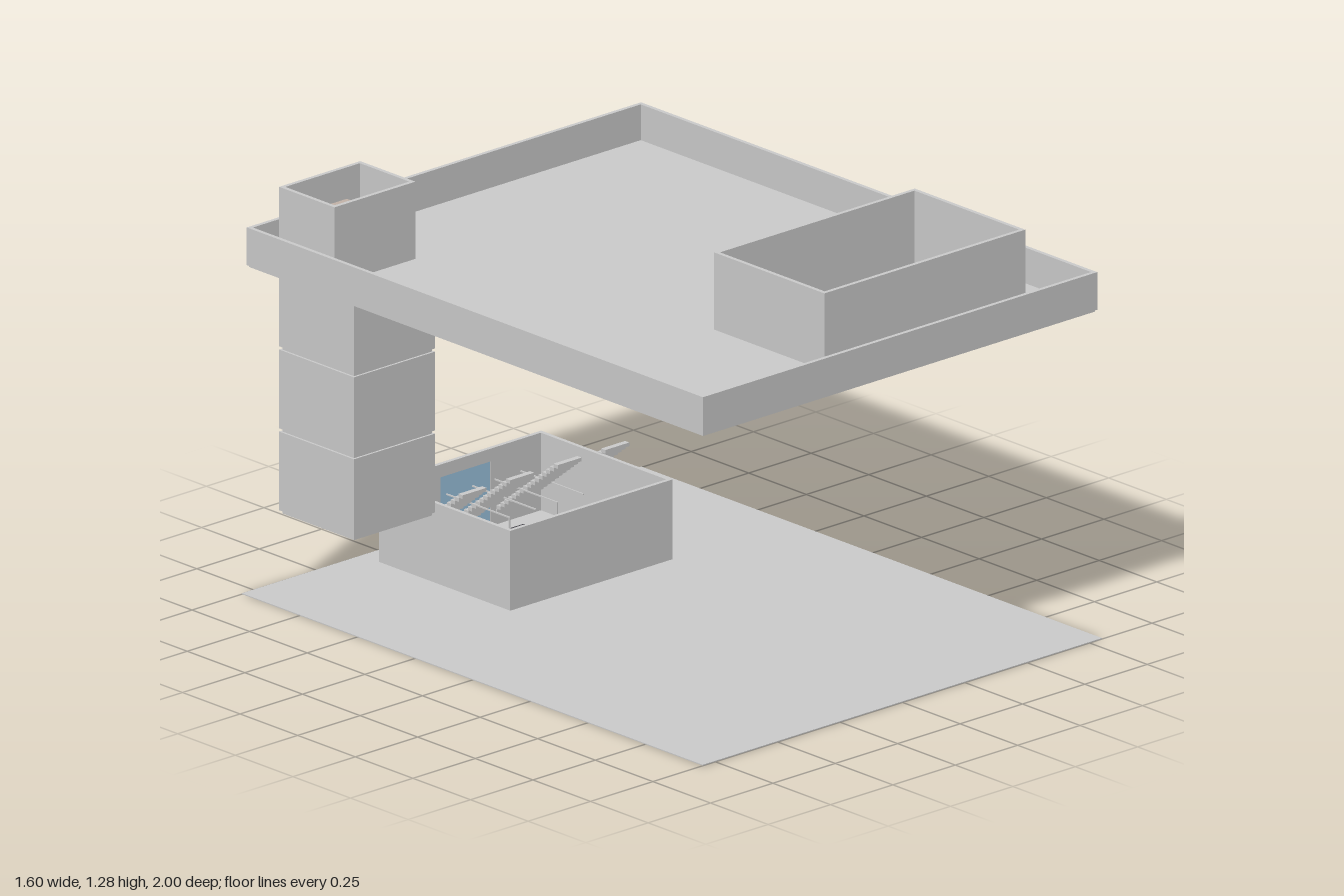
import * as THREE from 'three';

const grey = new THREE.MeshStandardMaterial({ color: 0xcccccc });
const brown = new THREE.MeshStandardMaterial({ color: 0xa87c48 });
const glass = new THREE.MeshStandardMaterial({ color: 0x9cc4e0 });
const dark = new THREE.MeshStandardMaterial({ color: 0x48474d });
const hatch = new THREE.MeshStandardMaterial({ color: 0xc3b3a8 });
const T = 0.013; // wall thickness

// Box given by its extents on each axis
function block(name, [x0, x1], [y0, y1], [z0, z1], material = grey) {
  const mesh = new THREE.Mesh(new THREE.BoxGeometry(x1 - x0, y1 - y0, z1 - z0), material);
  mesh.position.set((x0 + x1) / 2, (y0 + y1) / 2, (z0 + z1) / 2);
  mesh.name = name;
  return mesh;
}

// Four walls, open at the top; openings {x, y, material, name} pierce the back wall
function enclosure(name, [x0, x1], [y0, y1], [z0, z1], openings = []) {
  const g = new THREE.Group();
  g.name = name;
  g.add(
    block('frontWall', [x0, x1], [y0, y1], [z1 - T, z1]),
    block('rightWall', [x0, x0 + T], [y0, y1], [z0 + T, z1 - T]),
    block('leftWall', [x1 - T, x1], [y0, y1], [z0 + T, z1 - T])
  );
  const rect = (C, a, b, c, d) => new C([[a, c], [b, c], [b, d], [a, d]].map(p => new THREE.Vector2(...p)));
  const shape = rect(THREE.Shape, x0, x1, y0, y1);
  for (const o of openings) {
    shape.holes.push(rect(THREE.Path, ...o.x, ...o.y));
    g.add(block(o.name, o.x, o.y, [z0 + T * 0.5, z0 + T * 0.8], o.material));
  }
  const back = new THREE.Mesh(new THREE.ExtrudeGeometry(shape, { depth: T, bevelEnabled: false }), grey);
  back.position.z = z0;
  back.name = 'backWall';
  g.add(back);
  return g;
}

// Straight flight rising toward the front, with two level rails and one post
function staircase(x) {
  const g = new THREE.Group();
  g.name = 'staircase';
  const steps = 20, run = 0.0165, rise = 0.0131;
  for (let i = 0; i < steps; i++) {
    const y = 0.01 + i * rise, z = -0.97 + i * run;
    g.add(block('step', [-0.048, 0.048], [y, y + 0.0115], [z, z + run + 0.002]));
  }
  for (const s of [-1, 1]) {
    g.add(block('rail', [s * 0.052 - 0.002, s * 0.052 + 0.002], [0.153, 0.157], [-0.97, -0.635]));
  }
  g.add(block('railPost', [-0.054, -0.05], [0.105, 0.155], [-0.638, -0.634]));
  g.position.x = x;
  return g;
}

export function createModel() {
  const model = new THREE.Group();
  model.name = 'building';

  model.add(block('ground', [-0.8, 0.8], [0, 0.003], [-1, 1]));

  // Ground-floor room with a glazed door and a window
  model.add(block('roomFloor', [-0.32, 0.32], [0.003, 0.012], [-0.915, -0.355]));
  model.add(enclosure('room', [-0.325, 0.325], [0.005, 0.255], [-0.92, -0.35], [
    { name: 'glassDoor', x: [-0.09, 0.11], y: [0.015, 0.215], material: glass },
    { name: 'window', x: [-0.285, -0.115], y: [0.06, 0.215], material: glass }
  ]));
  model.add(block('table', [-0.12, 0.07], [0.07, 0.08], [-0.72, -0.65], dark));
  for (let i = 0; i < 4; i++) model.add(staircase(-0.202 + i * 0.1907));

  // Tower of three stacked rooms, each with a door
  for (let i = 0; i < 3; i++) {
    const y = 0.256 + i * 0.257;
    model.add(block('towerFloor', [-0.718, -0.405], [y, y + 0.013], [-0.913, -0.602]));
    model.add(enclosure('towerRoom', [-0.725, -0.4], [y + 0.01, y + 0.257], [-0.92, -0.595], [
      { name: 'door', x: [-0.6, -0.52], y: [y + 0.018, y + 0.2], material: brown }
    ]));
  }

  // Roof deck with parapet and two raised enclosures
  model.add(block('roofDeck', [-0.785, 0.785], [1.026, 1.038], [-0.985, 0.985]));
  model.add(enclosure('parapet', [-0.79, 0.79], [1.032, 1.15], [-0.99, 0.99]));
  model.add(enclosure('smallRoofEnclosure', [-0.725, -0.4], [1.036, 1.28], [-0.92, -0.68]));
  model.add(block('roofHatch', [-0.63, -0.5], [1.036, 1.2], [-0.87, -0.74], hatch));
  model.add(enclosure('largeRoofEnclosure', [-0.165, 0.64], [1.036, 1.28], [0.36, 0.84]));
  model.add(block('darkPanel', [-0.08, 0.56], [1.036, 1.043], [0.435, 0.755], dark));

  return model;
}
